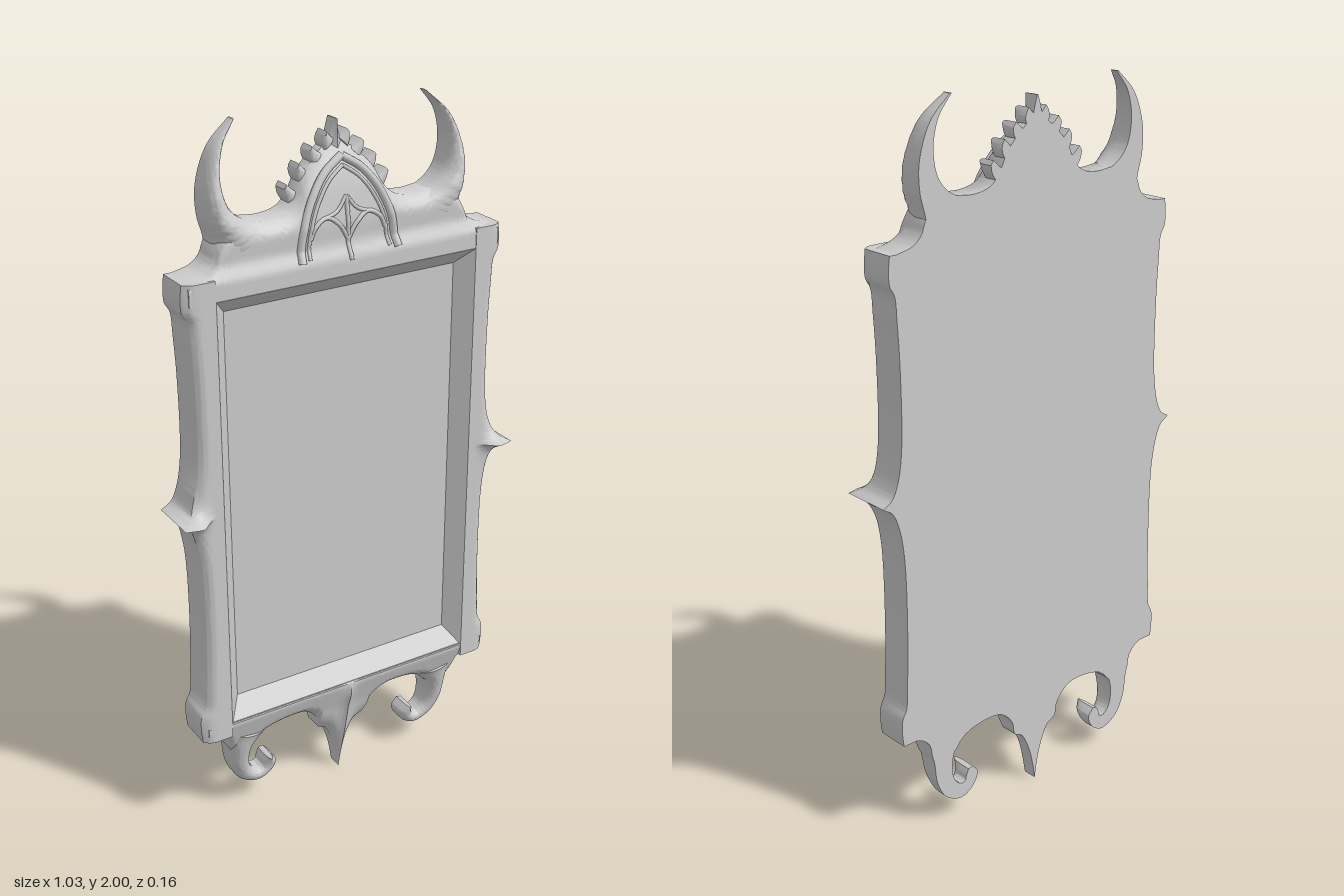
import * as THREE from 'three';
import { toCreasedNormals } from 'three/addons/utils/BufferGeometryUtils.js';

const BACK = -0.08, FACE = 0.035, GLASS = -0.01;

// piecewise-linear lookup in [[key, value], ...]
function lookup(table, k) {
  if (k <= table[0][0]) return table[0][1];
  for (let i = 1; i < table.length; i++) {
    const [k0, v0] = table[i - 1], [k1, v1] = table[i];
    if (k <= k1) return v0 + (v1 - v0) * (k - k0) / (k1 - k0);
  }
  return table[table.length - 1][1];
}

const smooth = (pts, n) => new THREE.CatmullRomCurve3(
  pts.map(([x, y]) => new THREE.Vector3(x, y, 0))).getPoints(n);

// flat-backed solid between two edge curves; front(t, s, x, y) gives its front z
function slab(a, b, front, n = 40, m = 16, crease = 0.7) {
  const A = smooth(a, n), B = smooth(b, n), pos = [], idx = [], ring = m + 3;
  let turn = 0;
  for (let i = 0; i <= n; i++) {
    const put = (t, z) => {
      const p = A[i].clone().lerp(B[i], t);
      pos.push(p.x, p.y, z ?? front(t, i / n, Math.abs(p.x), p.y));
    };
    put(0, BACK);
    for (let j = 0; j <= m; j++) put((1 - Math.cos(Math.PI * j / m)) / 2);
    put(1, BACK);
    if (i) {
      const w = B[i].clone().sub(A[i]).add(B[i - 1]).sub(A[i - 1]);
      const d = A[i].clone().add(B[i]).sub(A[i - 1]).sub(B[i - 1]);
      turn += w.x * d.y - w.y * d.x;
    }
  }
  const tri = (p, q, r) => turn > 0 ? idx.push(p, q, r) : idx.push(p, r, q);
  for (let i = 0; i < n; i++) for (let j = 0; j < ring; j++) {
    const p = i * ring + j, q = i * ring + (j + 1) % ring;
    tri(p, q, q + ring);
    tri(p, q + ring, p + ring);
  }
  const end = n * ring;
  for (let j = 1; j < ring - 1; j++) {
    tri(0, j + 1, j);
    tri(end, end + j, end + j + 1);
  }
  const g = new THREE.BufferGeometry();
  g.setAttribute('position', new THREE.Float32BufferAttribute(pos, 3));
  g.setIndex(idx);
  return toCreasedNormals(g, crease);
}

export function createModel() {
  const group = new THREE.Group();
  const mat = new THREE.MeshStandardMaterial({ color: 0xcccccc });
  const add = (name, geo) => {
    const mesh = new THREE.Mesh(geo, mat);
    mesh.name = name;
    group.add(mesh);
    return mesh;
  };
  const flip = pts => pts.map(([x, y]) => [-x, y]);
  const pair = (name, a, b, ...rest) => {
    add(name + 'Left', slab(a, b, ...rest));
    add(name + 'Right', slab(flip(a), flip(b), ...rest));
  };
  const dome = t => Math.sqrt(Math.max(0, 1 - (2 * t - 1) ** 2));
  const edge = (t, start) => Math.max(0, (t - start) / (1 - start)) ** 2;

  // mirror glass and its sloping surround
  const glass = add('mirrorPanel', new THREE.BoxGeometry(0.72, 1.17, GLASS - BACK));
  glass.position.set(0, 0.97, (GLASS + BACK) / 2);
  const outer = [[-0.388, 0.34], [0.388, 0.34], [0.388, 1.585], [-0.388, 1.585]];
  const inner = [[-0.347, 0.4], [0.347, 0.4], [0.347, 1.54], [-0.347, 1.54]];
  for (let i = 0; i < 4; i++) {
    const k = (i + 1) % 4;
    add('innerBevel', slab([outer[i], outer[k]], [inner[i], inner[k]],
      t => FACE + (GLASS - FACE) * t, 1, 4, 0.3));
  }

  // side rails with flared corners and a thorn at mid-height
  const rail = [[0.472, 0.3], [0.476, 0.34], [0.474, 0.38], [0.46, 0.41], [0.455, 0.48],
    [0.45, 0.6], [0.45, 0.8], [0.456, 0.88], [0.468, 0.94], [0.486, 0.98], [0.515, 1]];
  const railFront = (t, s, x, y) => {
    const thorn = Math.exp(-Math.abs(y - 1) / 0.018);
    const peak = x < 0.467 ? Math.max(0, (x - 0.42) / 0.047) : 1 - (x - 0.467) / 0.16;
    return FACE - 0.018 * edge(t, 0.6) * (1 - thorn) + 0.045 * thorn * peak;
  };
  for (const k of [1, -0.64 / 0.7]) {
    const out = rail.map(([x, y]) => [x, 1 + (y - 1) * k]);
    pair('sideRail', out.map(([, y]) => [0.388, y]), out, railFront, 90);
  }

  // crest: gable in the middle, valleys beside it
  const crestZ = y => lookup([[1.63, 0.033], [1.665, 0.014], [1.72, 0.016], [1.8, 0.002],
    [1.87, -0.016], [1.93, -0.035]], y);
  const crestTop = [[0, 1.925], [0.05, 1.89], [0.1, 1.84], [0.13, 1.785], [0.16, 1.76], [0.21, 1.75],
    [0.275, 1.755], [0.33, 1.75], [0.36, 1.71], [0.375, 1.675], [0.4, 1.653], [0.46, 1.638]];
  pair('crest', crestTop.map(([x]) => [x, 1.585]), crestTop,
    (t, s, x, y) => crestZ(y) - 0.025 * edge(t, 0.75), 60, 24);

  // horns
  const hornZ = [[0, 0.018], [0.3, 0.022], [0.5, 0.008], [0.75, -0.02], [1, -0.055]];
  pair('horn',
    [[0.2, 1.74], [0.275, 1.76], [0.317, 1.8], [0.333, 1.87], [0.317, 1.945], [0.275, 2]],
    [[0.355, 1.67], [0.362, 1.72], [0.376, 1.775], [0.376, 1.85], [0.342, 1.94], [0.281, 2]],
    (t, s) => BACK + (lookup(hornZ, s) - BACK) * (0.4 + 0.6 * dome(t))
      + 0.003 * Math.sin(s * 75) * t * t * (1 - s), 70);

  // crockets climbing the gable, and the finial
  const crockets = [[0.02, 1.905, 0.037, 1.936], [0.055, 1.872, 0.08, 1.905],
    [0.093, 1.832, 0.117, 1.867], [0.122, 1.782, 0.154, 1.82]];
  for (const [x, y, tx, ty] of crockets)
    pair('crocket',
      [[x + 0.014, y - 0.012], [(x + tx) / 2 + 0.012, (y + ty) / 2 - 0.008], [tx, ty - 0.008]],
      [[x - 0.012, y + 0.014], [(x + tx) / 2 - 0.012, (y + ty) / 2 + 0.006], [tx - 0.008, ty + 0.004]],
      t => -0.045 + 0.012 * dome(t), 8, 8);
  pair('finial', [[0, 1.89], [0, 1.93], [0, 1.968]], [[0.022, 1.89], [0.012, 1.932], [0.002, 1.968]],
    t => -0.034 - 0.016 * t, 8, 6);

  // pointed arch and tracery laid on the crest
  const rib = (name, pts, r) => {
    const path = smooth(pts, 24).map(p => p.setZ(crestZ(p.y) + 0.001));
    add(name, new THREE.TubeGeometry(new THREE.CatmullRomCurve3(path), 32, r, 8));
  };
  for (const m of [1, -1]) {
    const side = pts => pts.map(([x, y]) => [m * x, y]);
    rib('archRib', side([[0.142, 1.635], [0.128, 1.72], [0.098, 1.79], [0.055, 1.845], [0, 1.882]]), 0.011);
    rib('archInnerRib', side([[0.118, 1.64], [0.107, 1.715], [0.082, 1.775], [0.045, 1.825], [0, 1.858]]), 0.005);
    rib('traceryArc', side([[0, 1.675], [0.025, 1.715], [0.06, 1.738], [0.095, 1.72], [0.11, 1.69]]), 0.006);
    rib('traceryPoint', side([[0.06, 1.738], [0.03, 1.75], [0, 1.785]]), 0.005);
  }
  rib('mullion', [[0, 1.625], [0, 1.7], [0, 1.785]], 0.006);

  // apron with a ridged central pendant
  const apronZ = y => lookup([[0, -0.052], [0.07, -0.035], [0.15, -0.015], [0.25, 0.006],
    [0.33, 0.033]], y);
  const apronEdge = [[0, 0], [0.008, 0.05], [0.022, 0.105], [0.05, 0.162], [0.077, 0.178], [0.087, 0.22],
    [0.13, 0.262], [0.2, 0.267], [0.265, 0.248], [0.305, 0.21], [0.368, 0.21], [0.385, 0.268],
    [0.415, 0.295], [0.46, 0.305]];
  pair('apron', apronEdge.map(([x]) => [x, 0.345]), apronEdge,
    (t, s, x, y) => apronZ(y) - 0.02 * edge(t, 0.6) * Math.min(1, x / 0.03)
      + 0.014 * Math.exp(-x / 0.014) * Math.min(1, (0.345 - y) / 0.05), 70, 20);

  // curled scrolls under the apron
  pair('scroll',
    [[0.385, 0.275], [0.37, 0.205], [0.36, 0.135], [0.33, 0.08], [0.275, 0.055], [0.233, 0.077],
      [0.217, 0.115], [0.235, 0.14]],
    [[0.255, 0.255], [0.298, 0.215], [0.307, 0.15], [0.295, 0.115], [0.274, 0.1], [0.262, 0.104],
      [0.258, 0.118], [0.25, 0.136]],
    (t, s, x, y) => BACK + (apronZ(y) + 0.01 - BACK) * (0.5 + 0.5 * dome(t)), 60);

  return group;
}
